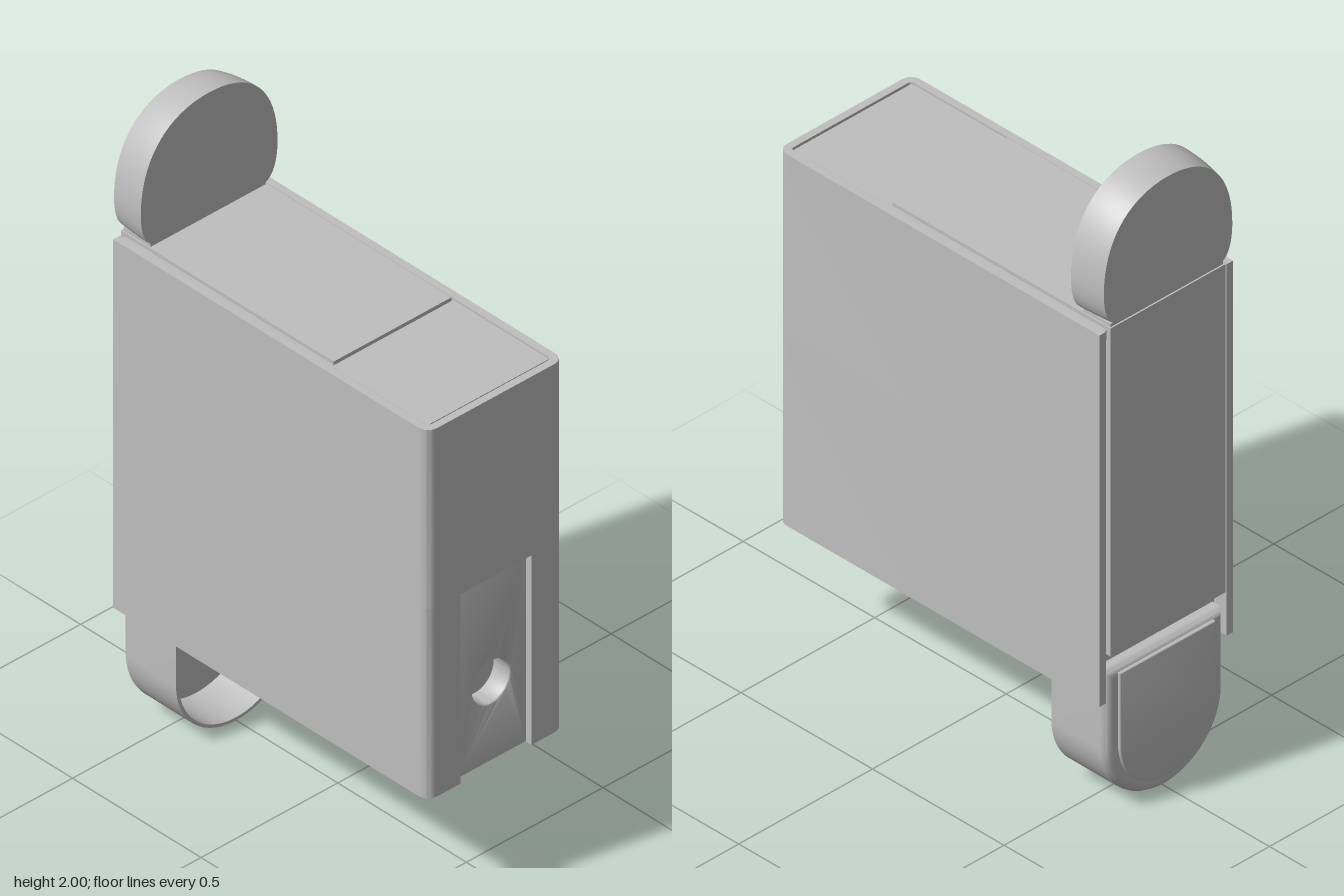
import * as THREE from 'three';
import { toCreasedNormals } from 'three/addons/utils/BufferGeometryUtils.js';

export function createModel() {
  const model = new THREE.Group();
  model.name = 'dispenser';
  const grey = new THREE.MeshStandardMaterial({ color: 0xbfbfbf });
  grey.name = 'plain grey';

  const add = (name, geometry, x = 0, y = 0, z = 0) => {
    const mesh = new THREE.Mesh(geometry, grey);
    mesh.name = name;
    mesh.position.set(x, y, z);
    model.add(mesh);
    return mesh;
  };
  // Box given by its limits
  const box = (name, x0, x1, y0, y1, z0, z1) =>
    add(name, new THREE.BoxGeometry(x1 - x0, y1 - y0, z1 - z0),
      (x0 + x1) / 2, (y0 + y1) / 2, (z0 + z1) / 2);
  // Extrusion along z, with an optional inward bevel
  const slab = (shape, z0, z1, bevel = 0) => {
    const g = new THREE.ExtrudeGeometry(shape, {
      depth: z1 - z0 - 2 * bevel, curveSegments: 24, bevelEnabled: bevel > 0,
      bevelThickness: bevel, bevelSize: bevel, bevelOffset: -bevel, bevelSegments: 4,
    });
    g.translate(0, 0, z0 + bevel);
    return toCreasedNormals(g, 0.6);
  };
  // Plan shape raised from y0 to y1 (shape y becomes -z)
  const raise = (shape, y0, y1) => {
    const g = new THREE.ExtrudeGeometry(shape, { depth: y1 - y0, bevelEnabled: false, curveSegments: 8 });
    g.rotateX(-Math.PI / 2).translate(0, y0, 0);
    return toCreasedNormals(g, 0.6);
  };

  // Wrap-around housing, open at the back, with a notch low in the front
  const W = 0.25, F = -0.615, B = 0.608, T = 0.024, R = 0.04, N = 0.13;
  const wall = new THREE.Shape();
  wall.moveTo(-W, B);
  wall.lineTo(-W, F + R);
  wall.quadraticCurveTo(-W, F, -W + R, F);
  wall.lineTo(W - R, F);
  wall.quadraticCurveTo(W, F, W, F + R);
  wall.lineTo(W, B);
  wall.lineTo(W - T, B);
  wall.lineTo(W - T, F + R);
  wall.quadraticCurveTo(W - T, F + T, W - R, F + T);
  wall.lineTo(-W + R, F + T);
  wall.quadraticCurveTo(-W + T, F + T, -W + T, F + R);
  wall.lineTo(-W + T, B);
  add('upperHousing', raise(wall, 1, 1.585));
  for (const s of [-1, 1]) {
    const half = new THREE.Shape();
    half.moveTo(s * N, F);
    half.lineTo(s * (W - R), F);
    half.quadraticCurveTo(s * W, F, s * W, F + R);
    half.lineTo(s * W, B);
    half.lineTo(s * (W - T), B);
    half.lineTo(s * (W - T), F + R);
    half.quadraticCurveTo(s * (W - T), F + T, s * (W - R), F + T);
    half.lineTo(s * N, F + T);
    add(s > 0 ? 'leftHousing' : 'rightHousing', raise(half, 0.38, 1));
  }

  // Inner core, lid and the raised cover running down the back
  box('core', -0.235, 0.235, 0.45, 1.565, -0.56, 0.53);
  box('lid', -0.222, 0.222, 1.55, 1.582, -0.6, 0.585);
  box('topCover', -0.215, 0.215, 1.57, 1.594, -0.61, 0.213);
  box('backCover', -0.215, 0.215, 0.53, 1.594, -0.615, -0.55);

  // Recessed front panel with a round hole
  const panel = new THREE.Shape();
  panel.moveTo(-N, 0.382);
  panel.lineTo(N, 0.382);
  panel.lineTo(N, 1);
  panel.lineTo(-N, 1);
  panel.closePath();
  const hole = new THREE.Path();
  hole.absarc(0, 0.64, 0.068, 0, Math.PI * 2, true);
  panel.holes.push(hole);
  add('frontPanel', slab(panel, 0.53, 0.597, 0.006));

  // Spout under the body: a block whose underside swells toward its back end
  const spout = new THREE.BoxGeometry(0.44, 1, 1, 24, 1, 12);
  const p = spout.attributes.position;
  for (let i = 0; i < p.count; i++) {
    const u = p.getX(i) / 0.22, t = 0.5 - p.getZ(i);
    const low = p.getY(i) < 0;
    const drop = 0.08 * Math.sin(t * Math.PI / 2) * (1 - u * u);
    p.setY(i, low ? 0.382 - drop : 0.46);
    p.setZ(i, 0.59 - 0.4 * t - (low ? 0 : 0.015 * t));
  }
  add('spout', toCreasedNormals(spout, 0.6));

  // Nozzle on the back of the spout
  add('nozzleCollar', new THREE.CylinderGeometry(0.022, 0.034, 0.02, 24).rotateX(-Math.PI / 2), 0, 0.36, 0.172);
  add('nozzleStem', new THREE.CylinderGeometry(0.011, 0.011, 0.03, 20).rotateX(Math.PI / 2), 0, 0.36, 0.158);
  add('nozzleTip', new THREE.SphereGeometry(0.016, 20, 12), 0, 0.36, 0.152);

  // Round-bottomed cup, open to the front
  const uShape = (r, top, Type = THREE.Shape) => {
    const s = new Type();
    s.moveTo(r, top);
    s.lineTo(-r, top);
    s.lineTo(-r, 0.22);
    s.absarc(0, 0.22, r, Math.PI, Math.PI * 2, false);
    s.closePath();
    return s;
  };
  const rim = uShape(0.22, 0.47);
  rim.holes.push(uShape(0.21, 0.46, THREE.Path));
  add('cupWall', slab(rim, -0.578, -0.395));
  add('cupFloor', slab(uShape(0.215, 0.465), -0.57, -0.55));
  add('cupBack', slab(uShape(0.22, 0.47), -0.606, -0.55, 0.025));
  add('cupBackPanel', slab(uShape(0.178, 0.455), -0.615, -0.6, 0.004));

  // Upright paddle on top, narrowing slightly toward the back
  const paddle = new THREE.Shape();
  paddle.moveTo(-0.19, 1.602);
  paddle.lineTo(0.19, 1.602);
  paddle.bezierCurveTo(0.23, 1.602, 0.25, 1.65, 0.25, 1.72);
  paddle.bezierCurveTo(0.25, 1.89, 0.16, 2, 0, 2);
  paddle.bezierCurveTo(-0.16, 2, -0.25, 1.89, -0.25, 1.72);
  paddle.bezierCurveTo(-0.25, 1.65, -0.23, 1.602, -0.19, 1.602);
  const pg = new THREE.ExtrudeGeometry(paddle, { depth: 0.115, steps: 6, bevelEnabled: false, curveSegments: 20 });
  const q = pg.attributes.position;
  for (let i = 0; i < q.count; i++) {
    const k = 1 - q.getZ(i) / 0.115;
    const shrink = 1 - 0.04 * k * k;
    q.setXYZ(i, q.getX(i) * shrink, 1.602 + (q.getY(i) - 1.602) * shrink, q.getZ(i) - 0.615);
  }
  add('paddle', toCreasedNormals(pg, 0.6));
  box('paddleFoot', -0.21, 0.21, 1.58, 1.604, -0.61, -0.505);

  return model;
}
